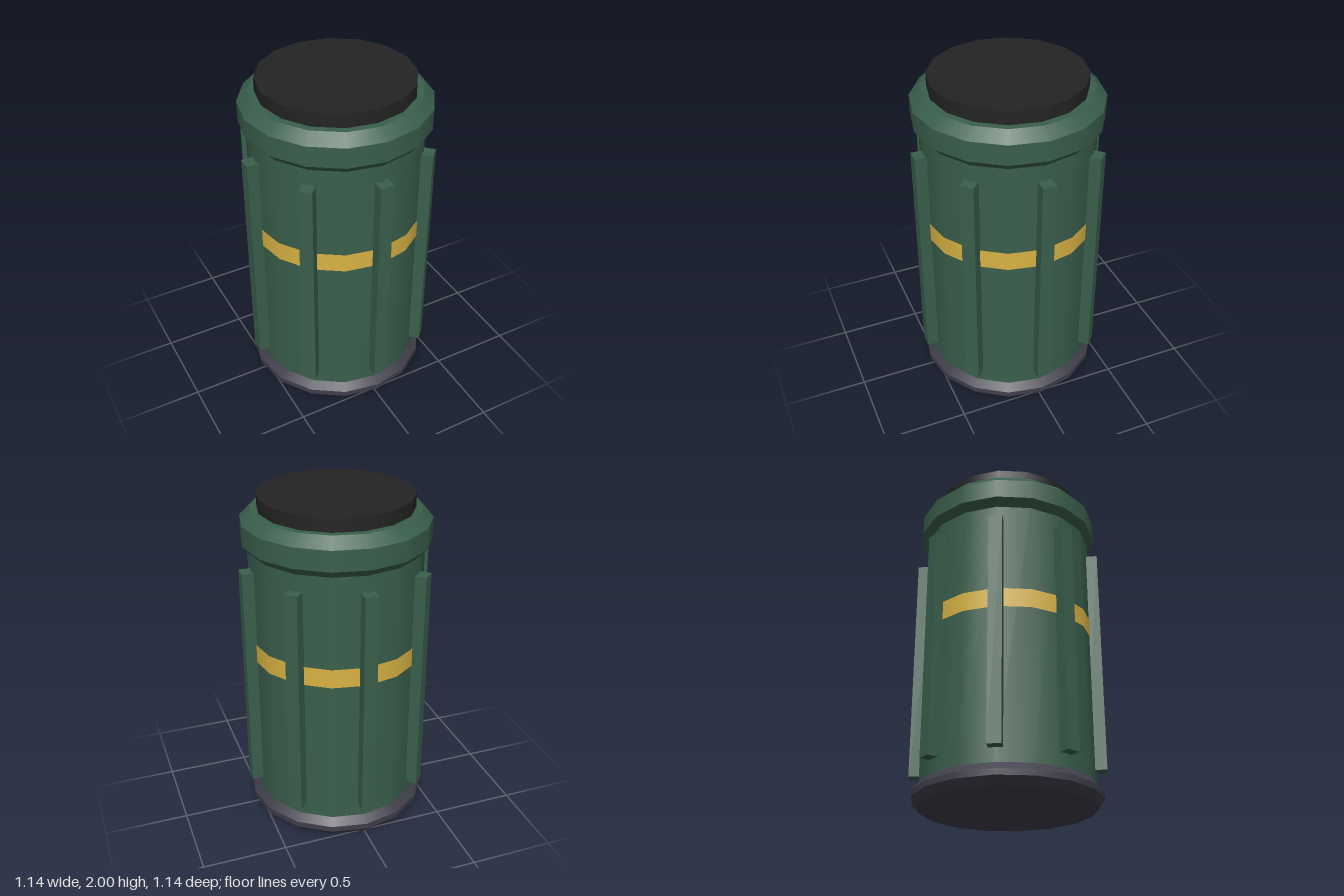
import * as THREE from 'three';

const SIDES = 16;
const mat = (name, color) => {
  const m = new THREE.MeshStandardMaterial({ color });
  m.name = name;
  return m;
};

export function createModel() {
  const green = mat('green', 0x3a5f4c);
  const gold = mat('gold', 0xd9b343);
  const slate = mat('slate', 0x3f3e4b);
  const black = mat('black', 0x242424);

  const model = new THREE.Group();
  model.name = 'canister';

  // Stack of smooth-sided bands with sharp edges between them; points are [radius, y].
  function turned(name, points, material, capTop, capBottom) {
    const group = new THREE.Group();
    group.name = name;
    const add = (geometry, y, partName) => {
      const mesh = new THREE.Mesh(geometry, material);
      mesh.position.y = y;
      mesh.name = partName;
      group.add(mesh);
    };
    for (let i = 0; i < points.length - 1; i++) {
      const [r0, y0] = points[i];
      const [r1, y1] = points[i + 1];
      add(new THREE.CylinderGeometry(r1, r0, y1 - y0, SIDES, 1, true), (y0 + y1) / 2, name + 'Side');
    }
    const disc = (r, y, tilt, partName) =>
      add(new THREE.CircleGeometry(r, SIDES, Math.PI / 2).rotateX(tilt), y, partName);
    if (capTop) disc(...points[points.length - 1], -Math.PI / 2, name + 'Top');
    if (capBottom) disc(...points[0], Math.PI / 2, name + 'Bottom');
    model.add(group);
  }

  turned('base', [[0.51, 0], [0.55, 0.045], [0.55, 0.08], [0.51, 0.125]], slate, true, true);
  turned('body', [[0.51, 0.12], [0.51, 1.7]], green);
  turned('collar', [[0.51, 1.695], [0.55, 1.74], [0.55, 1.86], [0.49, 1.92]], green, true, true);
  turned('lid', [[0.45, 1.92], [0.45, 2]], black, true);
  turned('stripe', [[0.514, 1.03], [0.514, 1.145]], gold);

  // Eight upright ribs around the body
  for (let i = 0; i < 8; i++) {
    const rib = new THREE.Mesh(new THREE.BoxGeometry(0.08, 1.39, 0.12), green);
    rib.geometry.translate(0, 0.9, 0.51);
    rib.rotation.y = (i * Math.PI) / 4;
    rib.name = 'rib' + (i + 1);
    model.add(rib);
  }
  return model;
}
